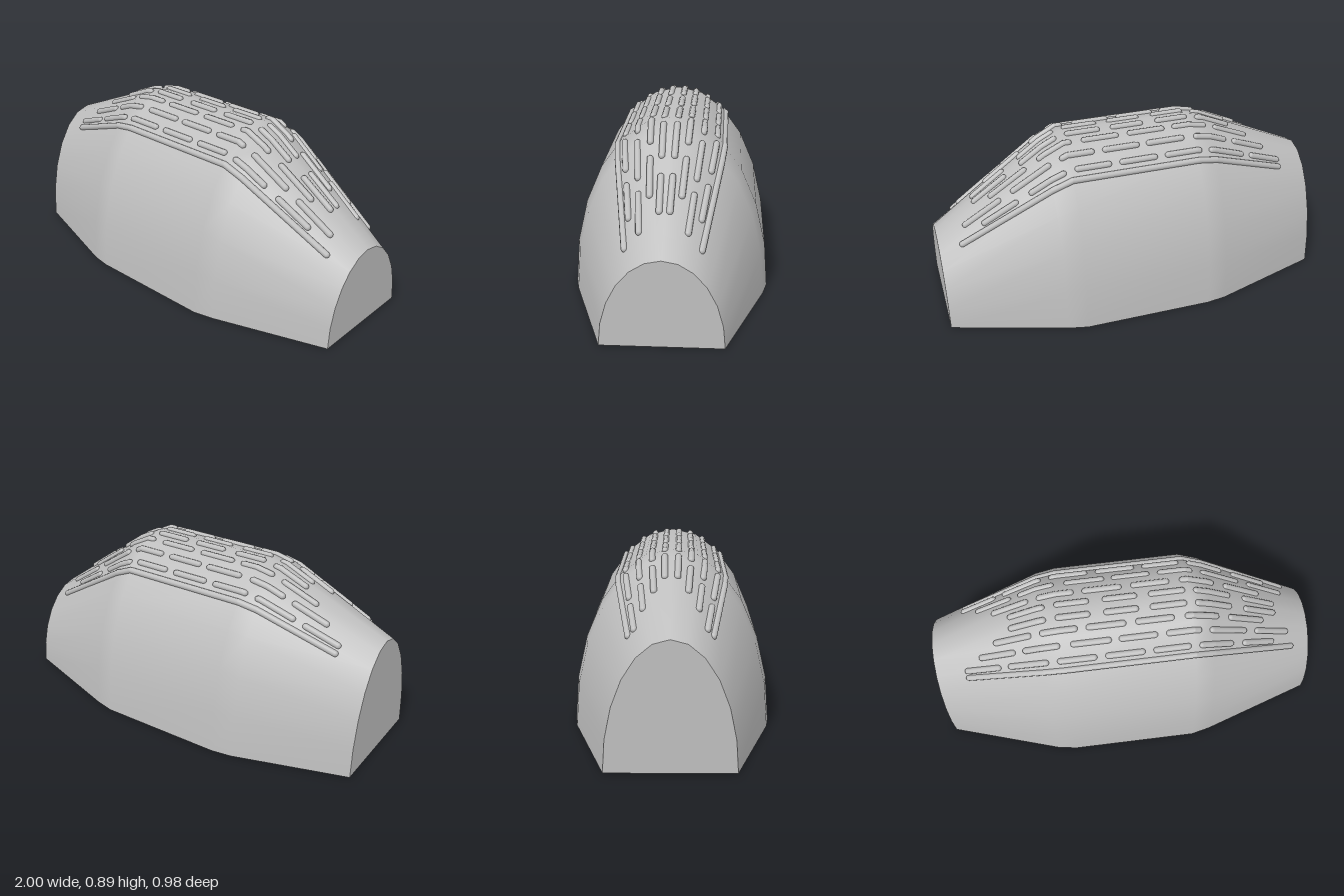
import * as THREE from 'three';

// Cross-sections along x: [x, half width, height]
const SECTIONS = [
  [-1, 0.3, 0.612], [-0.43, 0.477, 0.864], [-0.33, 0.492, 0.885],
  [0.33, 0.492, 0.885], [0.43, 0.47, 0.832], [1, 0.285, 0.42],
];
const STEPS = 12; // facets across the arch

function sectionAt(x) {
  let i = 0;
  while (i < SECTIONS.length - 2 && x > SECTIONS[i + 1][0]) i++;
  const a = SECTIONS[i], b = SECTIONS[i + 1];
  const t = (x - a[0]) / (b[0] - a[0]);
  return [a[1] + (b[1] - a[1]) * t, a[2] + (b[2] - a[2]) * t];
}

// Point on the faceted hull, angle in degrees from the top towards +z
function hullPoint(x, angle) {
  const [w, h] = sectionAt(x);
  const corner = (k) => {
    const a = THREE.MathUtils.degToRad(k * 180 / STEPS);
    return new THREE.Vector3(x, h * Math.cos(a), w * Math.sin(a));
  };
  const k = angle * STEPS / 180, k0 = Math.floor(k);
  return corner(k0).lerp(corner(k0 + 1), k - k0);
}

function geometryFrom(points, index) {
  const g = new THREE.BufferGeometry().setFromPoints(points);
  g.setIndex(index);
  g.computeVertexNormals();
  return g;
}

// Smooth arched skin lofted through the sections
function shellGeometry() {
  const points = [], index = [], row = STEPS + 1;
  SECTIONS.forEach(([x], i) => {
    for (let k = 0; k <= STEPS; k++) points.push(hullPoint(x, -90 + k * 180 / STEPS));
    if (i === 0) return;
    for (let k = 0; k < STEPS; k++) {
      const a = (i - 1) * row + k, b = a + row;
      index.push(a, a + 1, b, b, a + 1, b + 1);
    }
  });
  return geometryFrom(points, index);
}

// Flat arched end
function endGeometry(x) {
  const points = [], index = [];
  for (let k = 0; k <= STEPS; k++) points.push(hullPoint(x, -90 + k * 180 / STEPS));
  for (let k = 1; k < STEPS; k++) index.push(0, ...(x > 0 ? [k, k + 1] : [k + 1, k]));
  return geometryFrom(points, index);
}

// Flat underside
function baseGeometry() {
  const points = [], index = [];
  SECTIONS.forEach(([x, w], i) => {
    points.push(new THREE.Vector3(x, 0, -w), new THREE.Vector3(x, 0, w));
    if (i === 0) return;
    const a = (i - 1) * 2;
    index.push(a, a + 2, a + 1, a + 1, a + 2, a + 3);
  });
  return geometryFrom(points, index);
}

// Rows of ribs: angle from the top and the x span of each rib
const RIB_ROWS = [
  { angle: 4, spans: [[-0.585, -0.39], [-0.345, -0.17], [-0.105, 0.07], [0.125, 0.31], [0.35, 0.55], [0.615, 0.805]] },
  { angle: 11.4, spans: [[-0.67, -0.47], [-0.43, -0.24], [-0.2, 0], [0.045, 0.24], [0.29, 0.47], [0.52, 0.725]] },
  { angle: 19.5, spans: [[-0.755, -0.56], [-0.525, -0.335], [-0.285, -0.08], [-0.045, 0.15], [0.19, 0.37], [0.41, 0.62], [0.665, 0.87]] },
  { angle: 27.6, spans: [[-0.84, -0.645], [-0.61, -0.4], [-0.36, -0.16], [-0.12, 0.08], [0.12, 0.31], [0.35, 0.54], [0.59, 0.78]] },
  { angle: 32.6, spans: [[-0.84, 0.9]] },
];
const RADIUS = 0.016;

export function createModel() {
  const model = new THREE.Group();
  const grey = new THREE.MeshStandardMaterial({ color: 0xbfbfbf });
  grey.name = 'light grey';

  const add = (name, geometry, parent = model) => {
    const mesh = new THREE.Mesh(geometry, grey);
    mesh.name = name;
    parent.add(mesh);
    return mesh;
  };

  add('shell', shellGeometry());
  add('leftEnd', endGeometry(1));
  add('rightEnd', endGeometry(-1));
  add('base', baseGeometry());

  // Round-ended ribs, bent wherever the hull bends
  const ribs = new THREE.Group();
  ribs.name = 'ribs';
  model.add(ribs);
  const up = new THREE.Vector3(0, 1, 0);
  for (const { angle, spans } of RIB_ROWS) {
    for (const side of [-1, 1]) {
      for (const [start, end] of spans) {
        const x0 = start + RADIUS, x1 = end - RADIUS;
        const stops = [x0, ...SECTIONS.map((s) => s[0]).filter((x) => x > x0 && x < x1), x1];
        for (let i = 1; i < stops.length; i++) {
          const a = hullPoint(stops[i - 1], side * angle);
          const b = hullPoint(stops[i], side * angle);
          const rib = add('rib', new THREE.CapsuleGeometry(RADIUS, a.distanceTo(b), 4, 10), ribs);
          rib.position.copy(a).add(b).multiplyScalar(0.5);
          rib.quaternion.setFromUnitVectors(up, b.sub(a).normalize());
        }
      }
    }
  }
  return model;
}
